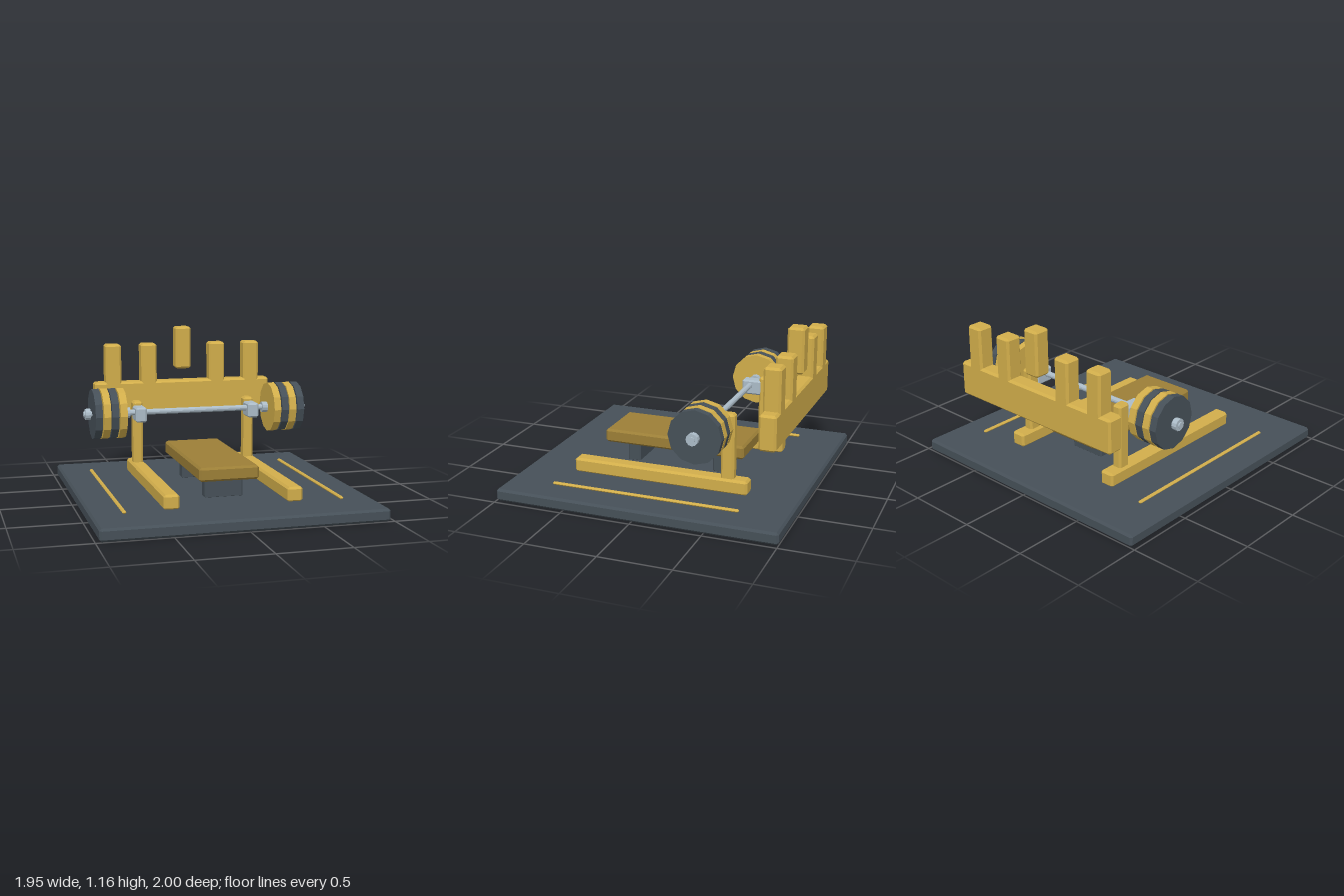
import * as THREE from 'three';
import { ConvexGeometry } from 'three/addons/geometries/ConvexGeometry.js';

const paint = (name, hex) => {
  const m = new THREE.MeshStandardMaterial({ color: hex, flatShading: true });
  m.name = name;
  return m;
};

// Box with every edge cut at 45 degrees
function chamferBox(w, h, d, c) {
  const [x, y, z] = [w / 2, h / 2, d / 2];
  const points = [];
  for (const sx of [-1, 1]) for (const sy of [-1, 1]) for (const sz of [-1, 1]) {
    points.push(
      new THREE.Vector3(sx * x, sy * (y - c), sz * (z - c)),
      new THREE.Vector3(sx * (x - c), sy * y, sz * (z - c)),
      new THREE.Vector3(sx * (x - c), sy * (y - c), sz * z));
  }
  return new ConvexGeometry(points);
}

export function createModel() {
  const model = new THREE.Group();
  model.name = 'benchPressStation';
  const gold = paint('gold', 0xd2ae4b);
  const darkGold = paint('darkGold', 0x9c7f37);
  const slate = paint('slate', 0x465058);
  const steel = paint('steel', 0xacbcc8);

  const add = (name, geometry, material, x, y, z) => {
    const mesh = new THREE.Mesh(geometry, material);
    mesh.name = name;
    mesh.position.set(x, y, z);
    model.add(mesh);
    return mesh;
  };
  // Chamfered block given by its minimum and maximum on each axis
  const block = (name, material, [x0, x1], [y0, y1], [z0, z1], c = 0.015) =>
    add(name, chamferBox(x1 - x0, y1 - y0, z1 - z0, c), material,
      (x0 + x1) / 2, (y0 + y1) / 2, (z0 + z1) / 2);
  const around = (centre, width) => [centre - width / 2, centre + width / 2];

  // Cylinder lying along x on the barbell axis
  const barY = 0.577, barZ = -0.375;
  const disc = (name, material, x, radius, length, sides) => {
    const g = new THREE.CylinderGeometry(radius, radius, length, sides).rotateZ(Math.PI / 2);
    return add(name, g, material, x, barY, barZ);
  };

  // Floor platform
  block('platform', slate, [-0.973, 0.973], [0, 0.086], [-1, 1]);

  // Bench
  block('benchPad', darkGold, [-0.21, 0.21], [0.228, 0.325], [-0.525, 0.52]);
  for (const z of [0.328, -0.323]) {
    block('benchLeg', slate, [-0.135, 0.135], [0.08, 0.235], around(z, 0.096), 0.008);
  }

  // Crown-shaped backdrop with a floating centre block
  const crownZ = [-0.89, -0.77];
  block('crownBar', gold, [-0.695, 0.695], [0.503, 0.75], crownZ);
  block('crownCentre', gold, [-0.06, 0.06], [0.84, 1.165], crownZ);

  // Barbell shaft
  disc('barShaft', steel, 0, 0.021, 1.7, 12);

  for (const s of [-1, 1]) {
    // Crown prongs
    for (const x of [0.272, 0.55]) {
      block('crownProng', gold, around(s * x, 0.122), [0.72, 1.04], crownZ);
    }
    // Rack: floor rail, upright and bar hook
    block('rackRail', gold, around(s * 0.43, 0.108), [0.08, 0.185], [-0.638, 0.638]);
    block('rackUpright', gold, around(s * 0.43, 0.074), [0.15, 0.645], [-0.538, -0.443]);
    block('barHook', steel, around(s * 0.43, 0.082), [0.507, 0.617], [-0.462, -0.315], 0.012);
    // Floor strip
    block('floorStrip', gold, around(s * 0.754, 0.027), [0.086, 0.106], [-0.672, 0.672], 0.008);
    // Weight plates, inside to outside
    [0.582, 0.643, 0.702, 0.763].forEach((x, i) =>
      disc('weightPlate', i % 2 ? slate : gold, s * x, 0.186, 0.052, 12));
    // Collars
    disc('innerCollar', steel, s * 0.53, 0.04, 0.042, 12);
    disc('outerCollar', steel, s * 0.82, 0.042, 0.038, 12);
  }
  return model;
}
